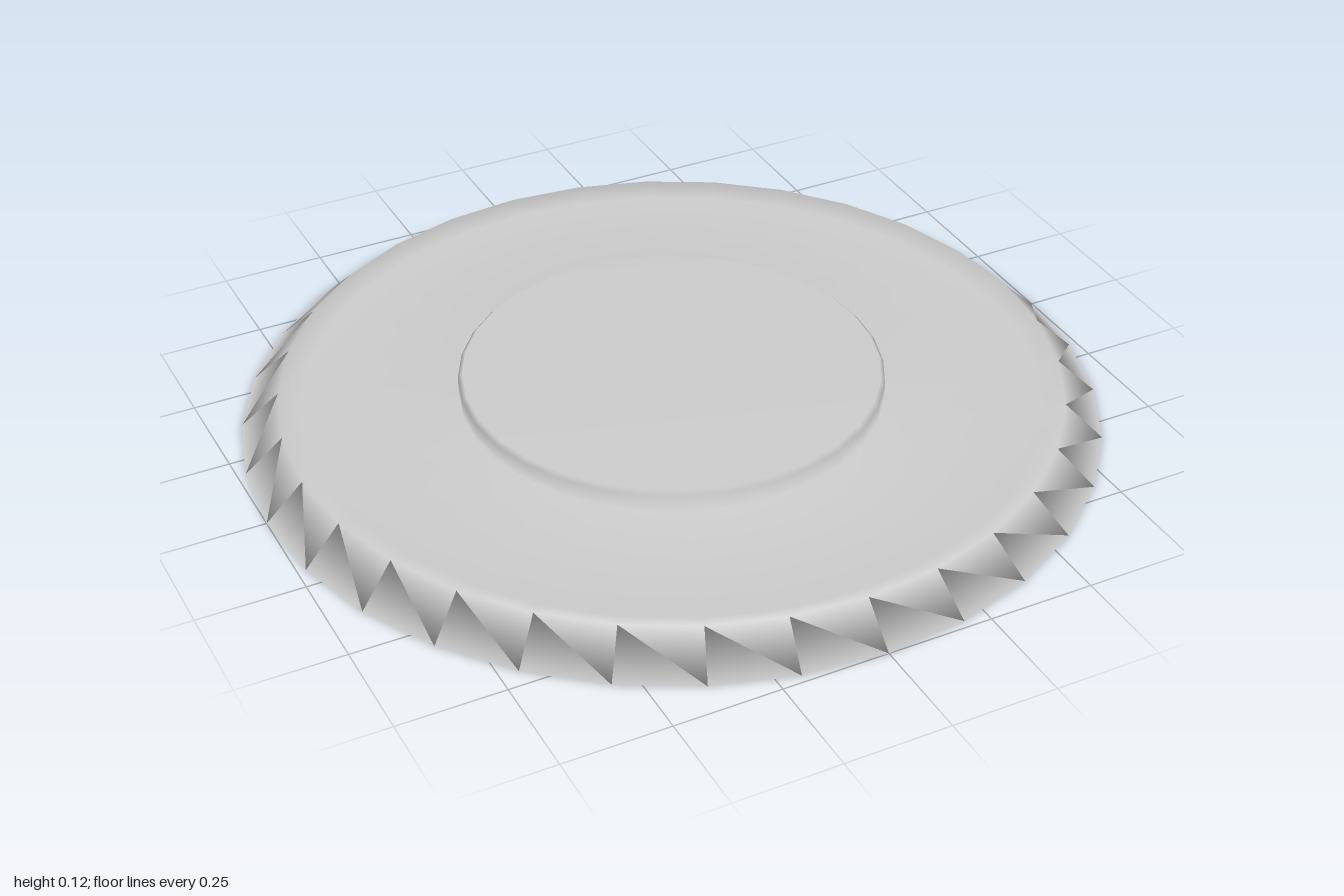
import * as THREE from 'three';

const SEGMENTS = 32;

export function createModel() {
  const group = new THREE.Group();
  group.name = 'raisedDish';
  const material = new THREE.MeshStandardMaterial({ color: 0xcccccc });

  // One smooth-shaded turned surface, from the centre underneath to the centre on top
  const profile = [
    [0, 0], [1, 0],             // flat underside
    [0.91, 0.085],              // sloped outer rim up to its crest
    [0.86, 0.066],              // shallow inner lip
    [0.495, 0.066],             // dished floor
    [0.495, 0.108],             // side of the raised centre
    [0.485, 0.118], [0, 0.118], // softened edge and flat top
  ].map(([r, y]) => new THREE.Vector2(r, y));

  const dish = new THREE.Mesh(new THREE.LatheGeometry(profile, SEGMENTS), material);
  dish.name = 'dishWithRaisedCentre';
  group.add(dish);
  return group;
}
